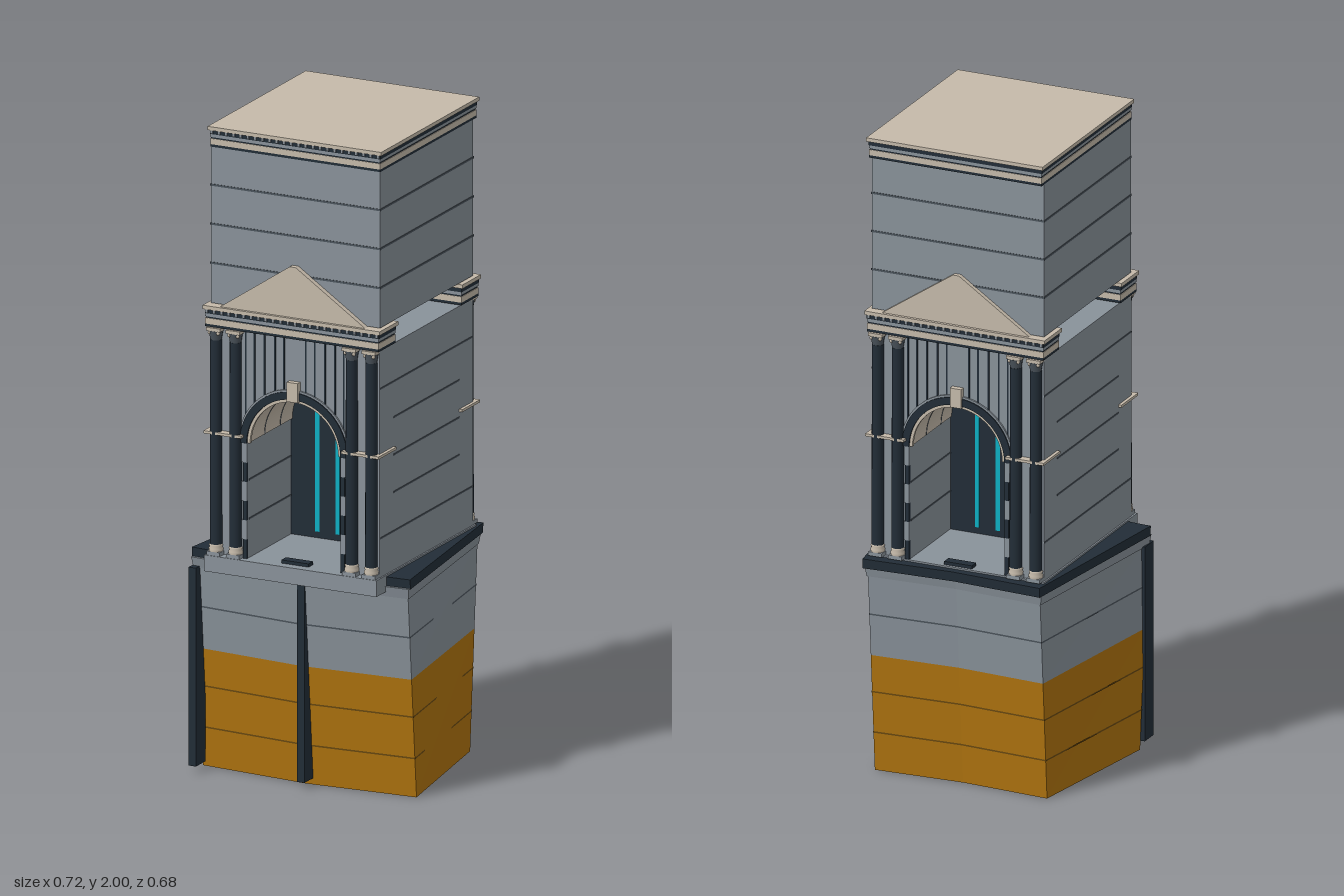
import * as THREE from 'three';

const mat = (name, color) => {
  const m = new THREE.MeshStandardMaterial({ color, side: THREE.DoubleSide });
  m.name = name;
  return m;
};
const grey = mat('stone grey', 0x89929a);
const tan = mat('limestone', 0xc5baaa);
const dark = mat('dark slate', 0x222d37);
const orange = mat('ochre', 0xb0740f);
const cyan = mat('cyan light', 0x0eb0c4);
const groove = mat('joint grey', 0x4c555d);
const ochreJoint = mat('ochre joint', 0x6b4a10);

function add(parent, name, geometry, material) {
  const m = new THREE.Mesh(geometry, material);
  m.name = name;
  parent.add(m);
  return m;
}

// box given by its limits
function box(parent, name, material, x0, x1, y0, y1, z0, z1) {
  const m = add(parent, name, new THREE.BoxGeometry(x1 - x0, y1 - y0, z1 - z0), material);
  m.position.set((x0 + x1) / 2, (y0 + y1) / 2, (z0 + z1) / 2);
  return m;
}

// plan of the splayed base at height y, grown by o
function plan(y, o = 0) {
  const t = y / 0.64, l = THREE.MathUtils.lerp;
  const f = l(0.215, 0.27, t) + o, fc = l(0.24, 0.295, t) + o;
  const b = l(-0.27, -0.318, t) - o, bc = l(-0.255, -0.303, t) - o;
  const w = 0.353 + o, v = 0.28 + o;
  return [[-w, f], [0, fc], [w, f], [v, b], [0, bc], [-v, b]].map(([x, z]) => [x, y, z]);
}

// loft between two plans, with optional ends
function loft(lower, upper, top = true, bottom = true) {
  const p = [], n = lower.length;
  for (let i = 0; i < n; i++) {
    const j = (i + 1) % n;
    p.push(lower[i], lower[j], upper[j], lower[i], upper[j], upper[i]);
  }
  for (let k = 2; k < n; k++) {
    const a = k % n, b = (k + 1) % n;
    if (top) p.push(upper[1], upper[a], upper[b]);
    if (bottom) p.push(lower[1], lower[b], lower[a]);
  }
  const g = new THREE.BufferGeometry();
  g.setAttribute('position', new THREE.Float32BufferAttribute(p.flat(), 3));
  g.computeVertexNormals();
  return g;
}

// layered moulding with dentils; hx is the half width
function moulding(parent, name, hx, y0, h, z0, z1) {
  const layers = [[0, 0.12, dark, -0.006], [0.12, 0.4, tan, -0.006], [0.4, 0.47, dark, -0.008],
    [0.47, 0.62, grey, -0.006], [0.62, 0.82, dark, -0.005], [0.82, 1, tan, 0]];
  for (const [a, b, m, o] of layers)
    box(parent, name, m, -hx - o, hx + o, y0 + a * h, y0 + b * h, z0 - o, z1 + o);
  for (let i = 0; i < 24; i++) {
    const x = -hx + 0.012 + i * (2 * hx - 0.024) / 23;
    box(parent, name + 'Dentil', grey, x - 0.004, x + 0.004, y0 + 0.66 * h, y0 + 0.82 * h, z1 - 0.006, z1 - 0.001);
  }
}

const R = 0.155, SPRING = 1.045, FLOOR = 0.69;

// half ring standing on the spring line
function archRing(r0, r1, depth) {
  const s = new THREE.Shape();
  s.absarc(0, 0, r1, 0, Math.PI, false);
  s.absarc(0, 0, r0, Math.PI, 0, true);
  return new THREE.ExtrudeGeometry(s, { depth, bevelEnabled: false, curveSegments: 24 });
}

function column(parent, x, z) {
  const c = new THREE.Group();
  c.name = 'column';
  c.position.set(x, 0, z);
  parent.add(c);
  box(c, 'plinth', grey, -0.022, 0.022, FLOOR, 0.702, -0.02, 0.02);
  const pts = [[0.021, 0.702], [0.022, 0.71], [0.019, 0.714], [0.021, 0.72], [0.0185, 0.724]];
  add(c, 'columnBase', new THREE.LatheGeometry(pts.map(p => new THREE.Vector2(...p)), 16), tan);
  add(c, 'shaft', new THREE.CylinderGeometry(0.0175, 0.0185, 0.63, 16), dark).position.y = 1.037;
  add(c, 'capital', new THREE.CylinderGeometry(0.022, 0.0165, 0.03, 12), groove).position.y = 1.365;
  for (const s of [-1, 1])
    add(c, 'volute', new THREE.SphereGeometry(0.006, 8, 6), tan).position.set(s * 0.014, 1.374, 0.014);
  box(c, 'abacus', tan, -0.023, 0.023, 1.38, 1.39, -0.02, 0.02);
}

// one decorated face, its wall plane at z = 0.30
function facade() {
  const g = new THREE.Group();
  g.name = 'facade';
  for (const s of [-1, 1]) {
    for (const x of [0.192, 0.257]) column(g, s * x, 0.308);
    const a = s * 0.165, b = s * 0.29;
    box(g, 'stringCourse', tan, Math.min(a, b), Math.max(a, b), 1.062, 1.07, 0.21, 0.325);
    // jamb with alternating quoins
    for (let i = 0; i < 6; i++) {
      const y = FLOOR + i * 0.059, c = s * (i % 2 ? 0.172 : 0.168);
      box(g, 'jambBlock', i % 2 ? grey : dark, Math.min(s * R, c), Math.max(s * R, c), y, y + 0.059, 0.295, 0.308);
    }
  }
  add(g, 'archivolt', archRing(R, 0.178, 0.012), dark).position.set(0, SPRING, 0.298);
  add(g, 'archivoltEdge', archRing(0.178, 0.184, 0.008), grey).position.set(0, SPRING, 0.298);
  add(g, 'archLining', archRing(R - 0.009, R, 0.01), tan).position.set(0, SPRING, 0.295);
  box(g, 'keystone', tan, -0.018, 0.018, 1.195, 1.255, 0.295, 0.318);
  // vertical joints over the arch
  for (const x of [0.036, 0.066, 0.1, 0.133, 0.162])
    for (const s of [-1, 1]) {
      const y = SPRING + Math.sqrt(0.183 ** 2 - x * x);
      box(g, 'wallJoint', dark, s * x - 0.0025, s * x + 0.0025, y, 1.39, 0.298, 0.302);
    }
  // dark screen with light strips inside the arch
  const lights = [-0.067, 0, 0.065];
  for (const x of lights) box(g, 'lightStrip', cyan, x - 0.007, x + 0.007, 0.71, 1.17, 0.022, 0.028);
  box(g, 'threshold', dark, -0.045, 0.045, FLOOR, 0.7, 0.27, 0.3);
  moulding(g, 'entablature', 0.293, 1.39, 0.065, 0.205, 0.325);
  // pediment
  const t = new THREE.Shape([[-0.24, 0], [0.24, 0], [0.01, 0.155], [-0.01, 0.155]].map(p => new THREE.Vector2(...p)));
  add(g, 'pediment', new THREE.ExtrudeGeometry(t, { depth: 0.022, bevelEnabled: false }), tan).position.set(0, 1.455, 0.293);
  return g;
}

export function createModel() {
  const model = new THREE.Group();
  model.name = 'tower';

  // splayed base, hollow below
  add(model, 'baseLower', loft(plan(0), plan(0.37), false, false), orange);
  add(model, 'baseCeiling', loft(plan(0.12, -0.002), plan(0.125, -0.002)), orange);
  box(model, 'baseDivider', orange, -0.03, 0.03, 0.002, 0.12, -0.255, 0.238);
  add(model, 'baseUpper', loft(plan(0.37), plan(0.64)), grey);
  for (const y of [0.12, 0.25]) add(model, 'baseJoint', loft(plan(y, 0.001), plan(y + 0.005, 0.001), false, false), ochreJoint);
  add(model, 'baseJoint', loft(plan(0.5, 0.001), plan(0.505, 0.001), false, false), groove);
  add(model, 'ledge', loft(plan(0.625, 0.003), plan(0.657, 0.007)), grey);
  add(model, 'ledgeCap', loft(plan(0.655, 0.008), plan(0.685, 0.008)).translate(0, 0, -0.01), dark);
  box(model, 'balcony', grey, -0.285, 0.285, 0.64, FLOOR, -0.3, 0.34);

  // fender posts
  for (const x of [-0.347, 0.012]) box(model, 'fenderPost', dark, x - 0.012, x + 0.012, 0.02, 0.63, 0.235, 0.296);

  // arched stage
  const stage = new THREE.Group();
  stage.name = 'archStage';
  stage.position.z = 0.01;
  model.add(stage);
  const s = new THREE.Shape();
  s.moveTo(-0.28, FLOOR);
  s.lineTo(-R, FLOOR);
  s.lineTo(-R, SPRING);
  s.absarc(0, SPRING, R, Math.PI, 0, true);
  s.lineTo(R, FLOOR);
  s.lineTo(0.28, FLOOR);
  s.lineTo(0.28, 1.387);
  s.lineTo(-0.28, 1.387);
  add(stage, 'archBlock', new THREE.ExtrudeGeometry(s, { depth: 0.6, bevelEnabled: false, curveSegments: 24 }), grey).position.z = -0.3;
  // vault lining with joints
  add(stage, 'vault', archRing(R - 0.004, R - 0.001, 0.594), tan).position.set(0, SPRING, -0.297);
  for (const z of [-0.2, -0.1, 0.1, 0.2])
    add(stage, 'vaultJoint', archRing(R - 0.005, R - 0.003, 0.004), groove).position.set(0, SPRING, z);
  // screen across the passage
  box(stage, 'screen', dark, -R, R, FLOOR, SPRING, -0.025, 0.025);
  const half = new THREE.Shape();
  half.absarc(0, 0, R - 0.003, 0, Math.PI, false);
  add(stage, 'screenHead', new THREE.ExtrudeGeometry(half, { depth: 0.05, bevelEnabled: false, curveSegments: 24 }), dark)
    .position.set(0, SPRING, -0.025);
  // side joints and inner wall joints
  [0.81, 0.93, 1.045, 1.16, 1.27].forEach((y, i) => {
    const h = i === 0 || i === 4 ? 0.299 : 0.21;
    for (const sd of [-1, 1]) {
      box(stage, 'sideJoint', groove, sd * 0.28 - 0.0015, sd * 0.28 + 0.0015, y - 0.0025, y + 0.0025, -h, h);
      if (y < SPRING) box(stage, 'innerJoint', groove, sd * R - 0.0015, sd * R + 0.0015, y - 0.0025, y + 0.0025, -0.295, 0.295);
    }
  });
  const front = facade(), back = facade();
  back.rotation.y = Math.PI;
  stage.add(front, back);

  // upper block
  box(model, 'upperBlock', grey, -0.28, 0.28, 1.457, 1.942, -0.29, 0.307);
  for (const y of [1.58, 1.7, 1.82])
    box(model, 'upperJoint', groove, -0.2815, 0.2815, y - 0.003, y + 0.003, -0.2915, 0.3085);
  moulding(model, 'cornice', 0.287, 1.937, 0.063, -0.315, 0.314);

  return model;
}
